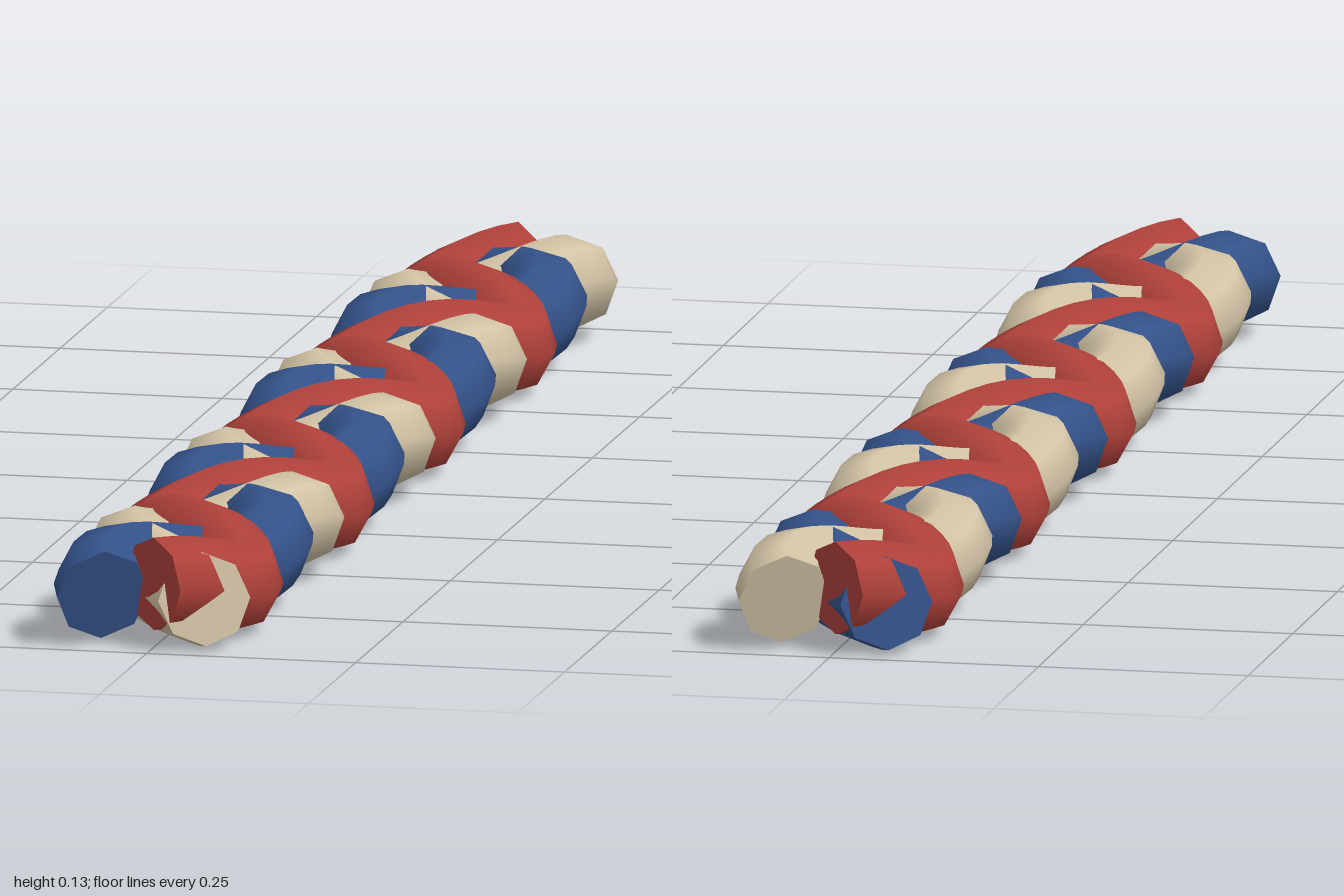
import * as THREE from 'three';

const SWAY = 0.07;     // sideways amplitude
const LIFT = 0.0105;   // up and down amplitude
const RADIUS = 0.055;
const HALF = 0.964;    // half length of the centre lines
const TURNS = 4;
const SIDES = 8;
const STEPS = 96;

// Centre line of one braided strand, running from front to back
class StrandCurve extends THREE.Curve {
  constructor(phase) {
    super();
    this.phase = phase;
  }
  getPoint(u, target = new THREE.Vector3()) {
    const t = u * TURNS * Math.PI * 2;
    return target.set(
      SWAY * Math.sin(t + this.phase),
      LIFT * Math.cos(2 * t + this.phase),
      HALF * (1 - 2 * u)
    );
  }
}

// Flat fan closing one end ring of a tube
function endCap(tube, centre, ring, flip) {
  const pos = tube.attributes.position;
  const corner = (j) => new THREE.Vector3().fromBufferAttribute(pos, ring * (SIDES + 1) + j);
  const points = [];
  for (let j = 0; j < SIDES; j++) {
    const a = corner(j), b = corner(j + 1);
    points.push(centre, ...(flip ? [b, a] : [a, b]));
  }
  const cap = new THREE.BufferGeometry().setFromPoints(points);
  cap.computeVertexNormals();
  return cap;
}

function strand(name, phase, material) {
  const group = new THREE.Group();
  group.name = name;
  const curve = new StrandCurve(phase);
  const tube = new THREE.TubeGeometry(curve, STEPS, RADIUS, SIDES, false);
  const add = (part, geometry) => {
    const mesh = new THREE.Mesh(geometry, material);
    mesh.name = part;
    group.add(mesh);
  };
  add('cord', tube);
  add('frontEnd', endCap(tube, curve.getPoint(0), 0, false));
  add('backEnd', endCap(tube, curve.getPoint(1), STEPS, true));
  return group;
}

function flat(name, color) {
  const material = new THREE.MeshStandardMaterial({ color });
  material.name = name;
  return material;
}

export function createModel() {
  const model = new THREE.Group();
  model.name = 'braid';
  const third = Math.PI * 2 / 3;
  const strands = [
    strand('redStrand', 0, flat('red', 0xb0413a)),
    strand('creamStrand', third, flat('cream', 0xd2c3a5)),
    strand('blueStrand', third * 2, flat('blue', 0x34528a)),
  ];
  model.add(...strands);

  // Rest the braid on the ground
  const lowest = new THREE.Box3().setFromObject(model, true).min.y;
  strands.forEach((s) => { s.position.y = -lowest; });
  return model;
}
